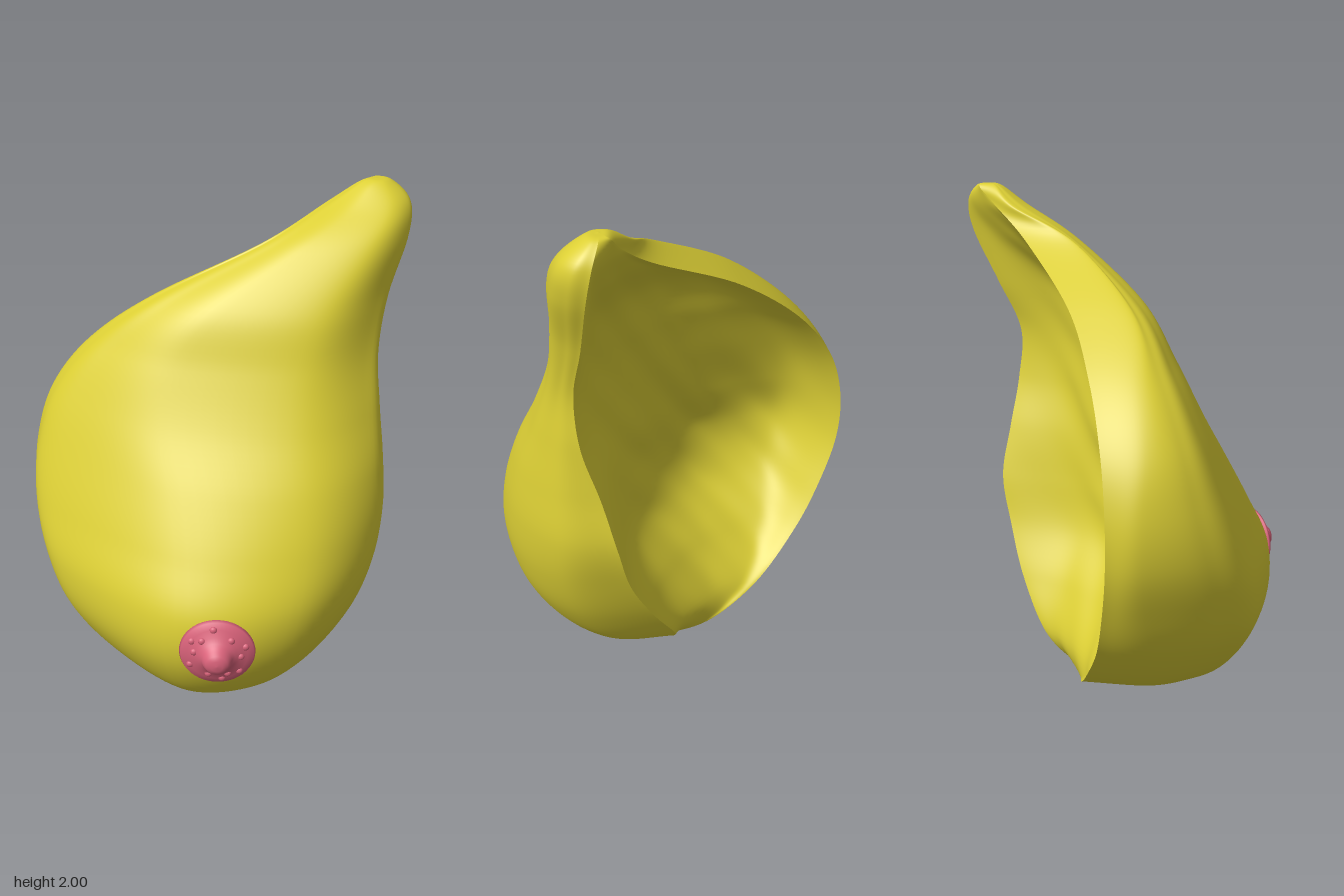
import * as THREE from 'three';

// Horizontal sections, bottom to top:
// y | left side x,z | right side x,z | front x,z | right rim x,z
const LEVELS = [
  [0, 0.12, 0, 0.12, 0, 0.12, 0, 0.12, 0],
  [0.012, 0.02, 0, 0.2, 0, 0.12, 0.11, 0.12, -0.1],
  [0.07, -0.11, 0.0, 0.32, 0, 0.12, 0.25, 0.12, -0.24],
  [0.2, -0.33, -0.02, 0.5, -0.03, 0.13, 0.42, 0.16, -0.37],
  [0.4, -0.51, -0.04, 0.63, -0.05, 0.14, 0.53, 0.29, -0.45],
  [0.6, -0.62, -0.08, 0.69, -0.06, 0.14, 0.535, 0.4, -0.49],
  [0.8, -0.69, -0.1, 0.7, -0.09, 0.1, 0.44, 0.46, -0.515],
  [1, -0.69, -0.1, 0.675, -0.13, 0.03, 0.33, 0.5, -0.475],
  [1.2, -0.62, -0.08, 0.63, -0.2, -0.06, 0.215, 0.55, -0.43],
  [1.4, -0.46, -0.08, 0.595, -0.27, -0.05, 0.115, 0.56, -0.415],
  [1.6, -0.2, -0.09, 0.6, -0.34, 0.08, 0.01, 0.565, -0.5],
  [1.8, 0.17, -0.24, 0.64, -0.45, 0.33, -0.2, 0.58, -0.59],
  [1.92, 0.35, -0.45, 0.632, -0.51, 0.46, -0.38, 0.565, -0.61],
  [1.99, 0.45, -0.51, 0.555, -0.53, 0.5, -0.475, 0.525, -0.575],
  [2, 0.5, -0.52, 0.5, -0.52, 0.5, -0.52, 0.5, -0.52],
];

const { lerp, smoothstep } = THREE.MathUtils;
const spline = (pts) => new THREE.CatmullRomCurve3(pts, false, 'catmullrom', 0.5);

// The left rim sits just inside the side and curves back towards the tip
function leftRim([, xl, , xr, , , , , bz]) {
  const narrow = 1 - (xr - xl) / 1.4;
  const x = lerp(xl, xr, 0.03 + 0.3 * narrow ** 2);
  return [x, Math.max(bz, -0.2 - 0.11 * Math.exp(2.5 * x))];
}

// Outer wall: left rim, round the front, to the right rim
function outerSection(level) {
  const [y, xl, zl, xr, zr, xf, zf, bx, bz] = level;
  return [
    leftRim(level), [xl, zl],
    [lerp(xf, xl, 0.94), lerp(zl, zf, 0.43)],
    [lerp(xf, xl, 0.73), lerp(zl, zf, 0.74)],
    [xf, zf],
    [lerp(xf, xr, 0.73), lerp(zr, zf, 0.65)],
    [xr, zr],
    [lerp(xr, bx, 0.27), lerp(zr, bz, 0.7)],
    [bx, bz],
  ].map(([x, z]) => new THREE.Vector3(x, y, z));
}

// Hollow back: right rim, through the deepest point, to the left rim
function cavitySection(level) {
  const [y, xl, , xr, , , zf, bx, bz] = level;
  const [ax, az] = leftRim(level);
  const hollow = 0.53 * smoothstep(xr - xl, 0.2, 0.8) * smoothstep(y, 0, 0.85);
  const depth = hollow * (zf - (az + bz) / 2);
  return [[0, 0], [0.17, 0.65], [0.52, 1], [0.86, 0.7], [1, 0]].map(([t, k]) =>
    new THREE.Vector3(lerp(bx, ax, t), y, lerp(bz, az, t) + k * depth));
}

// Smooth sheet lofted through the sections, with optional diagonal folds
function loft(section, across, up, ripple = 0) {
  const sections = LEVELS.map(section);
  const rails = sections[0].map((_, k) => spline(sections.map((s) => s[k])));
  const positions = [];
  const index = [];
  for (let i = 0; i <= up; i++) {
    const curve = spline(rails.map((rail) => rail.getPoint(i / up)));
    for (let j = 0; j <= across; j++) {
      const p = curve.getPoint(j / across);
      const fade = Math.sin((Math.PI * j) / across) * Math.sin((Math.PI * i) / up);
      const fold = Math.sin(20 * (p.x - 0.8 * p.y) + 1.5 * Math.sin(4 * p.y))
        + 0.5 * Math.sin(41 * (p.x - 0.7 * p.y));
      positions.push(p.x, THREE.MathUtils.clamp(p.y, 0, 2), p.z + ripple * fade * fold);
      if (i < up && j < across) {
        const a = i * (across + 1) + j;
        const c = a + across + 1;
        index.push(a, a + 1, c, a + 1, c + 1, c);
      }
    }
  }
  const geometry = new THREE.BufferGeometry();
  geometry.setAttribute('position', new THREE.Float32BufferAttribute(positions, 3));
  geometry.setIndex(index);
  geometry.computeVertexNormals();
  return geometry;
}

export function createModel() {
  const model = new THREE.Group();
  const yellow = new THREE.MeshStandardMaterial({ color: 0xdccf35, side: THREE.DoubleSide });
  yellow.name = 'yellow skin';
  const pink = new THREE.MeshStandardMaterial({ color: 0xd9627a });
  pink.name = 'pink';

  const add = (parent, name, geometry, material) => {
    const mesh = new THREE.Mesh(geometry, material);
    mesh.name = name;
    parent.add(mesh);
    return mesh;
  };

  // Body shell
  add(model, 'outerSkin', loft(outerSection, 80, 120), yellow);
  add(model, 'backCavity', loft(cavitySection, 60, 120, 0.007), yellow);

  // Nipple, turned to follow the skin
  const nipple = new THREE.Group();
  nipple.name = 'nipple';
  nipple.position.set(0.3, 0.512, 0.525);
  nipple.rotation.y = 0.36;
  model.add(nipple);

  // Disc with a raised centre, spun about its own axis
  const profile = [
    [0, -0.02], [0.08, -0.02], [0.125, -0.014], [0.139, -0.003], [0.134, 0.008],
    [0.11, 0.018], [0.085, 0.03], [0.066, 0.042], [0.055, 0.054], [0.05, 0.068],
    [0.04, 0.081], [0.022, 0.089], [0, 0.091],
  ].map(([r, h]) => new THREE.Vector2(r, h));
  add(nipple, 'areola', new THREE.LatheGeometry(profile, 48).rotateX(Math.PI / 2), pink);
  add(nipple, 'base', new THREE.CylinderGeometry(0.085, 0.07, 0.06, 24).rotateX(Math.PI / 2), pink)
    .position.z = -0.045;

  // Low bumps around the centre
  for (let i = 0; i < 12; i++) {
    const angle = (i / 12) * Math.PI * 2 + 0.2 * Math.sin(i * 5);
    const r = i % 2 ? 0.108 : 0.085;
    const bump = add(nipple, 'bump', new THREE.SphereGeometry(0.014, 12, 8), pink);
    bump.position.set(r * Math.cos(angle), r * Math.sin(angle), i % 2 ? 0.016 : 0.027);
    bump.scale.z = 0.7;
  }
  return model;
}
